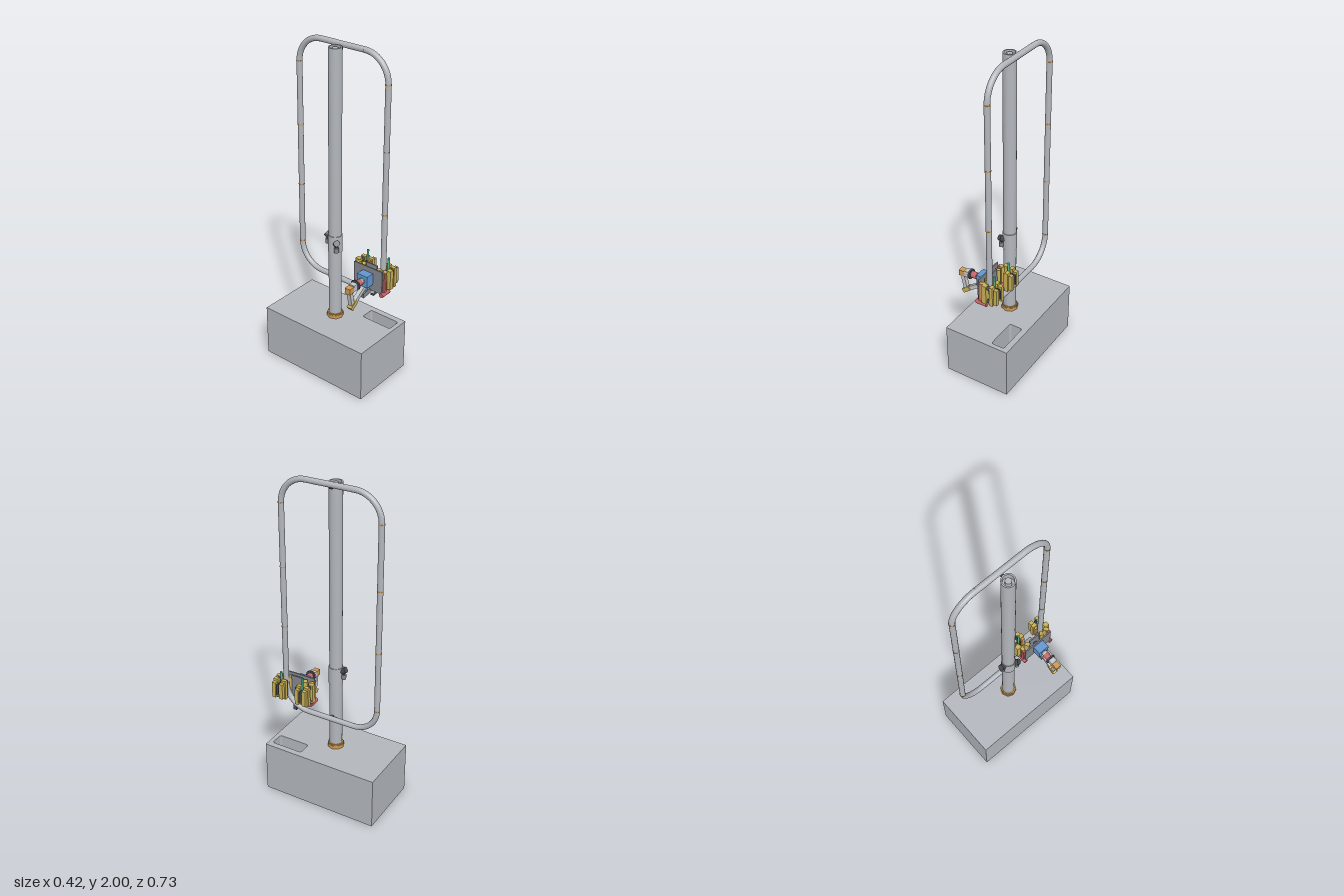
import * as THREE from 'three';

const mat = (name, color) => Object.assign(new THREE.MeshStandardMaterial({ color }), { name });

export function createModel() {
  const M = {
    grey: mat('body grey', 0xb2b6bc),
    pale: mat('pale grey', 0xc4c7cc),
    dark: mat('charcoal', 0x4a4c50),
    mid: mat('mid grey', 0x84878e),
    orange: mat('orange', 0xd09a50),
    yellow: mat('yellow', 0xc8b055),
    red: mat('red', 0xc8646a),
    blue: mat('blue', 0x6496d0),
    navy: mat('dark blue', 0x3c5a8c),
    green: mat('green', 0x55b48a),
  };
  const root = new THREE.Group();
  const group = (name, parent = root) => {
    const g = new THREE.Group();
    g.name = name;
    parent.add(g);
    return g;
  };
  const add = (parent, name, geo, m, x = 0, y = 0, z = 0) => {
    const mesh = new THREE.Mesh(geo, m);
    mesh.name = name;
    mesh.position.set(x, y, z);
    parent.add(mesh);
    return mesh;
  };
  const box = (p, name, m, w, h, d, x, y, z) => add(p, name, new THREE.BoxGeometry(w, h, d), m, x, y, z);
  const cyl = (p, name, m, r, h, x, y, z, axis = 'y', seg = 24) => {
    const g = new THREE.CylinderGeometry(r, r, h, seg);
    if (axis === 'x') g.rotateZ(Math.PI / 2);
    if (axis === 'z') g.rotateX(Math.PI / 2);
    return add(p, name, g, m, x, y, z);
  };
  // square bar between two points in a plane of constant z
  const bar = (p, name, m, a, b, thick, depth, z) => {
    const dx = b[0] - a[0], dy = b[1] - a[1];
    const mesh = box(p, name, m, Math.hypot(dx, dy), thick, depth, (a[0] + b[0]) / 2, (a[1] + b[1]) / 2, z);
    mesh.rotation.z = Math.atan2(dy, dx);
    return mesh;
  };

  // base block with a rounded pocket in its top
  const base = group('base');
  const floorY = 0.14;
  box(base, 'baseBottom', M.grey, 0.42, floorY, 0.734, 0, floorY / 2, 0);
  const outline = new THREE.Shape();
  outline.moveTo(-0.21, -0.367).lineTo(0.21, -0.367).lineTo(0.21, 0.367).lineTo(-0.21, 0.367).closePath();
  const hole = new THREE.Path();
  const [x0, x1, y0, y1, r] = [0.09, 0.174, -0.34, -0.14, 0.012];
  hole.moveTo(x0 + r, y0);
  hole.absarc(x0 + r, y0 + r, r, -Math.PI / 2, -Math.PI, true);
  hole.absarc(x0 + r, y1 - r, r, Math.PI, Math.PI / 2, true);
  hole.absarc(x1 - r, y1 - r, r, Math.PI / 2, 0, true);
  hole.absarc(x1 - r, y0 + r, r, 0, -Math.PI / 2, true);
  hole.closePath();
  outline.holes.push(hole);
  const walls = new THREE.ExtrudeGeometry(outline, { depth: 0.323 - floorY, bevelEnabled: false, curveSegments: 5 });
  walls.rotateX(-Math.PI / 2);
  add(base, 'baseWalls', walls, M.grey, 0, floorY, 0);

  // tray and samples inside the pocket
  box(base, 'trayFloor', M.green, 0.083, 0.008, 0.199, 0.132, floorY + 0.004, 0.24);
  cyl(base, 'samplePlug', M.orange, 0.017, 0.1, 0.13, 0.2, 0.303);
  const ring = new THREE.TorusGeometry(0.015, 0.0025, 8, 24).rotateX(Math.PI / 2);
  add(base, 'sampleRing', ring, M.orange, 0.13, 0.2, 0.24);
  const elbow = new THREE.TorusGeometry(0.02, 0.012, 10, 12, Math.PI);
  add(base, 'sampleElbow', elbow, M.orange, 0.13, 0.19, 0.175).rotation.y = -0.6;

  // mast with a hollow top
  const mast = group('mast');
  const profile = [[0.038, 0.32], [0.038, 1.985], [0.03, 1.985], [0.03, 1.95], [0.017, 1.95], [0.017, 1.98], [0, 1.98]];
  const mastGeo = new THREE.LatheGeometry(profile.map(p => new THREE.Vector2(...p)), 32).toNonIndexed();
  mastGeo.computeVertexNormals();
  add(mast, 'mastTube', mastGeo, M.grey);
  cyl(mast, 'mastCollar', M.orange, 0.05, 0.022, 0, 0.334, 0, 'y', 8);
  cyl(mast, 'collarLip', M.orange, 0.045, 0.008, 0, 0.348, 0);
  cyl(mast, 'sensorSleeve', M.grey, 0.042, 0.11, 0, 0.82, 0);
  for (const [a, y] of [[-1.67, 0.84], [2.3, 0.82]]) {
    const s = group('sensor', mast);
    s.position.y = y;
    s.rotation.y = -a;
    box(s, 'sensorMount', M.dark, 0.02, 0.035, 0.016, 0.045, 0, 0);
    cyl(s, 'sensorHead', M.dark, 0.018, 0.03, 0.05, 0.018, 0, 'x', 16).rotation.z = 0.6;
    cyl(s, 'sensorBody', M.mid, 0.014, 0.03, 0.05, -0.022, 0, 'y', 16);
  }
  for (const y of [0.548, 1.968]) box(mast, 'railBracket', M.dark, 0.024, 0.02, 0.016, 0.043, y, 0);

  // closed rail loop beside the mast
  const rail = group('rail');
  rail.position.x = 0.06;
  const [R, t, zc, yt, yb] = [0.155, 0.0165, 0.15, 1.83, 0.703];
  [[zc, yt], [-zc, yt], [-zc, yb], [zc, yb]].forEach(([z, y], k) => {
    const bend = add(rail, 'railBend', new THREE.TorusGeometry(R, t, 16, 12, Math.PI / 2), M.grey, 0, y, z);
    bend.rotation.set(0, -Math.PI / 2, k * Math.PI / 2);
  });
  for (const y of [yt + R, yb - R]) cyl(rail, 'railCross', M.grey, t, 2 * zc, 0, y, 0, 'z');
  for (const s of [-1, 1]) {
    cyl(rail, 'railUpright', M.grey, t, yt - yb, 0, (yt + yb) / 2, s * (zc + R));
    for (let i = 0; i < 4; i++)
      cyl(rail, 'railJoint', M.orange, t + 0.0012, 0.006, 0, yb + (yt - yb) * i / 3, s * (zc + R));
  }

  // carriage riding on the front upright
  const carriage = group('carriage');
  box(carriage, 'backPlate', M.mid, 0.008, 0.145, 0.2, 0.006, 0.675, 0.24);
  box(carriage, 'centrePlate', M.mid, 0.008, 0.14, 0.075, 0.04, 0.68, 0.24);
  box(carriage, 'plateMotor', M.navy, 0.022, 0.03, 0.024, 0.02, 0.675, 0.24);
  box(carriage, 'plateLink', M.dark, 0.03, 0.012, 0.01, 0.045, 0.675, 0.24);
  for (const [z, s] of [[0.165, -1], [0.315, 1]]) {
    const clamp = group('clamp', carriage);
    clamp.position.set(0.06, 0, z);
    // split jaws facing outwards
    for (const k of [-1, 1]) {
      box(clamp, 'jaw', M.yellow, 0.022, 0.125, 0.03, 0.042, 0.678, k * 0.026 + s * 0.004);
      box(clamp, 'jawFace', M.yellow, 0.022, 0.1, 0.024, 0.068, 0.678, k * 0.024 + s * 0.004);
      box(clamp, 'jawRib', M.dark, 0.05, 0.07, 0.005, 0.05, 0.678, k * 0.01 + s * 0.004);
      const shoe = box(clamp, 'rollerArm', M.yellow, 0.03, 0.11, 0.022, -0.022, 0.68, k * 0.02);
      shoe.rotation.y = k * 0.5;
      cyl(clamp, 'roller', M.dark, 0.012, 0.016, 0.022, 0.678 + k * 0.045, s * 0.03, 'x', 16);
    }
    box(clamp, 'outerArm', M.yellow, 0.028, 0.12, 0.03, 0, 0.68, s * 0.036);
    box(clamp, 'hinge', M.orange, 0.024, 0.1, 0.02, 0.03, 0.68, -s * 0.022);
    cyl(clamp, 'guideRod', M.green, 0.007, 0.16, 0.037, 0.71, 0, 'y', 12);
    cyl(clamp, 'clampMotor', M.red, 0.014, 0.07, -0.03, 0.598, s * 0.026, 'x', 20);
    box(clamp, 'clampBody', M.red, 0.024, 0.12, 0.022, -0.035, 0.67, s * 0.022);
  }

  // folded arm
  const arm = group('arm');
  const az = 0.24;
  box(arm, 'armHousing', M.blue, 0.052, 0.072, 0.072, -0.024, 0.68, az);
  cyl(arm, 'shoulderRing', M.green, 0.018, 0.008, -0.054, 0.68, az, 'x');
  cyl(arm, 'shoulderJoint', M.pale, 0.017, 0.012, -0.062, 0.68, az, 'x');
  cyl(arm, 'wristMotor', M.red, 0.02, 0.036, -0.085, 0.68, az - 0.001, 'x');
  cyl(arm, 'wristFlange', M.dark, 0.031, 0.01, -0.109, 0.68, az, 'x');
  box(arm, 'wristBlock', M.pale, 0.032, 0.038, 0.038, -0.129, 0.678, az);
  box(arm, 'upperElbow', M.orange, 0.038, 0.036, 0.036, -0.164, 0.672, az);
  bar(arm, 'upperLink', M.pale, [-0.163, 0.66], [-0.143, 0.565], 0.024, 0.026, az);
  bar(arm, 'lowerElbow', M.yellow, [-0.16, 0.547], [-0.115, 0.58], 0.026, 0.034, az);
  bar(arm, 'foreLink', M.pale, [-0.125, 0.573], [-0.035, 0.635], 0.024, 0.026, az);
  // tool below the housing
  cyl(arm, 'toolJoint', M.blue, 0.016, 0.04, -0.025, 0.63, az);
  bar(arm, 'toolBody', M.mid, [-0.055, 0.585], [0.02, 0.6], 0.032, 0.032, az);
  bar(arm, 'toolArm', M.pale, [0.0, 0.59], [0.05, 0.56], 0.02, 0.024, az);
  box(arm, 'toolTip', M.dark, 0.03, 0.04, 0.022, 0.058, 0.557, az);
  return root;
}
